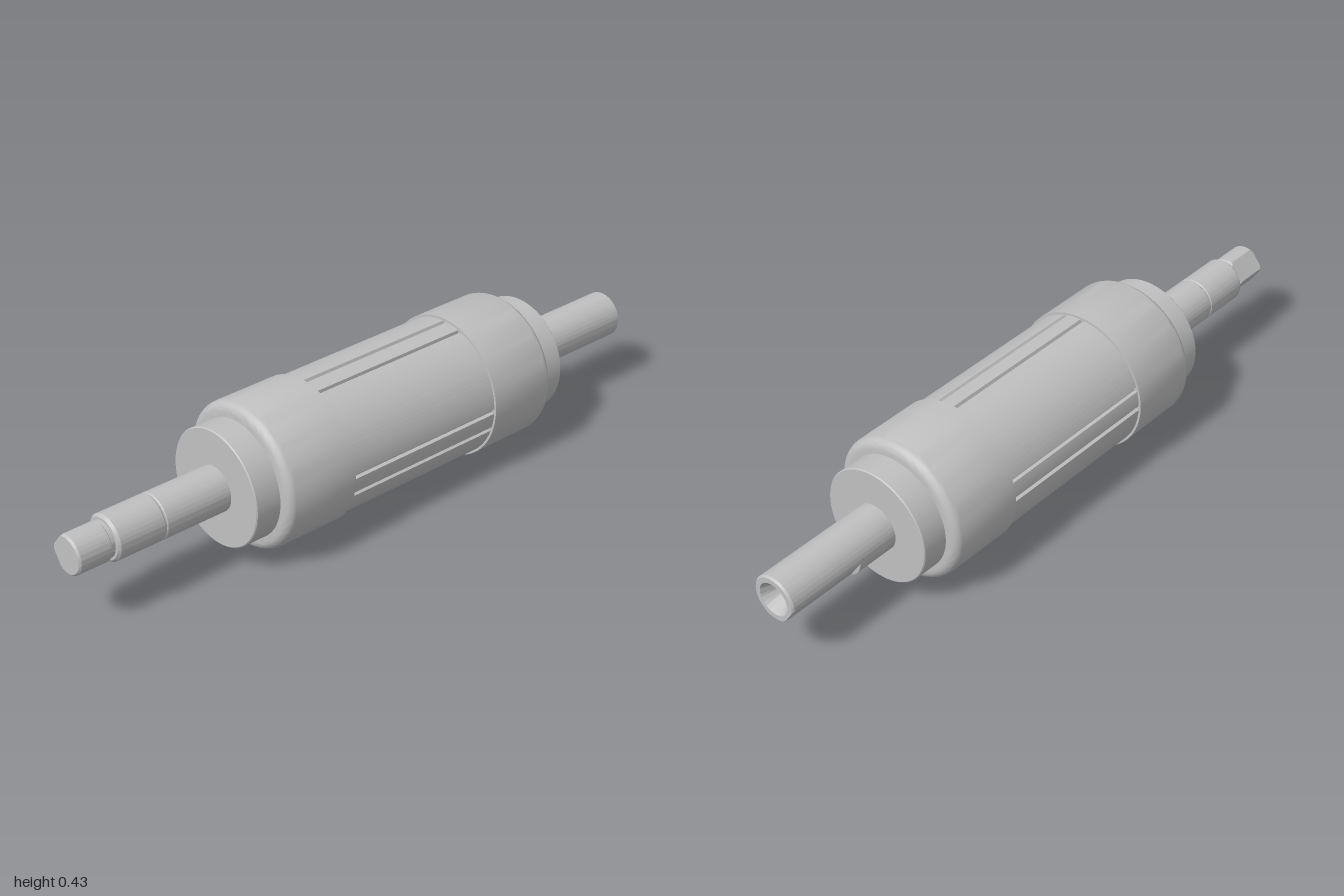
import * as THREE from 'three';
import { toCreasedNormals } from 'three/addons/utils/BufferGeometryUtils.js';

const steel = new THREE.MeshStandardMaterial({ color: 0xc0c0c0 });
steel.name = 'grey steel';

function part(name, geo, crease = 0.5) {
  const mesh = new THREE.Mesh(toCreasedNormals(geo, crease), steel);
  mesh.name = name;
  return mesh;
}

// Turned solid along x; profile is [x, radius] from -x to +x
function turned(profile) {
  const geo = new THREE.LatheGeometry(profile.map(([x, r]) => new THREE.Vector2(r, x)), 72);
  return geo.rotateZ(-Math.PI / 2);
}

// Mill a flat: push points beyond a plane (normal at angle in z/y, distance d) back onto it
function millFlat(geo, x0, x1, angle, d) {
  const p = geo.attributes.position, nz = Math.cos(angle), ny = Math.sin(angle);
  for (let i = 0; i < p.count; i++) {
    const x = p.getX(i);
    const over = p.getY(i) * ny + p.getZ(i) * nz - d;
    if (x < x0 || x > x1 || over <= 0) continue;
    p.setY(i, p.getY(i) - ny * over);
    p.setZ(i, p.getZ(i) - nz * over);
  }
  return geo;
}

// Middle drum with four pairs of lengthwise grooves
function drumGeometry(x0, x1) {
  const points = [];
  for (let deg = 0; deg < 360; deg++) {
    const q = deg % 90;
    const inGroove = q <= 1 || q === 89 || (q >= 72 && q <= 74);
    const r = inGroove ? 0.197 : 0.206, a = THREE.MathUtils.degToRad(deg);
    points.push(new THREE.Vector2(-r * Math.cos(a), r * Math.sin(a)));
  }
  const geo = new THREE.ExtrudeGeometry(new THREE.Shape(points), { depth: x1 - x0, bevelEnabled: false });
  return geo.rotateY(Math.PI / 2).translate(x0, 0, 0);
}

// End ring, rounded on its outer (+x) edge
function ringProfile(x0, x1) {
  const R = 0.213, f = 0.028, profile = [[x0, 0.16], [x0, R]];
  for (let i = 0; i <= 6; i++) {
    const a = (i / 6) * Math.PI / 2;
    profile.push([x1 - f + f * Math.sin(a), R - f + f * Math.cos(a)]);
  }
  profile.push([x1, 0.16]);
  return profile;
}
const mirrored = (profile) => profile.map(([x, r]) => [-x, r]).reverse();

export function createModel() {
  const group = new THREE.Group();
  group.name = 'roller';
  const roller = new THREE.Group();
  roller.name = 'rollerAssembly';
  group.add(roller);

  roller.add(part('groovedDrum', drumGeometry(-0.22, 0.33)));
  roller.add(part('leftRing', turned(ringProfile(0.32, 0.55))));
  roller.add(part('rightRing', turned(mirrored(ringProfile(0.21, 0.44)))));

  // Stepped flanges beside the rings
  const flange = [[0.5, 0], [0.5, 0.172], [0.627, 0.172], [0.63, 0.169], [0.63, 0]];
  roller.add(part('leftFlange', turned(flange)));
  roller.add(part('rightFlange', turned(mirrored(flange.map(([x, r]) => [x - 0.11, r])))));

  // Left shaft with centre-drilled end and a milled flat
  const leftShaft = turned([
    [0.6, 0], [0.6, 0.069], [0.76, 0.069], [0.761, 0.069], [0.994, 0.069], [1, 0.064],
    [1, 0.049], [0.955, 0.03], [0.94, 0],
  ]);
  const flatAngle = Math.atan2(-0.555, -0.83);
  roller.add(part('leftShaft', millFlat(leftShaft, 0.7605, 1.01, flatAngle, 0.0593), 0.35));

  // Right shaft with a fine step and a relief before the tip
  roller.add(part('rightShaft', turned([
    [-0.885, 0], [-0.885, 0.06], [-0.877, 0.067], [-0.737, 0.067], [-0.734, 0.0645],
    [-0.73, 0.0645], [-0.727, 0.067], [-0.5, 0.067], [-0.5, 0],
  ])));

  // Right tip with milled flats
  const tip = turned([
    [-1, 0], [-1, 0.053], [-0.994, 0.058], [-0.9, 0.058], [-0.896, 0.053], [-0.88, 0.053], [-0.88, 0],
  ]);
  for (const angle of [flatAngle, flatAngle - Math.PI / 2.5]) millFlat(tip, -1.01, -0.89, angle, 0.047);
  roller.add(part('rightTip', tip, 0.35));

  // The axis leans very slightly
  roller.quaternion.setFromUnitVectors(
    new THREE.Vector3(1, 0, 0), new THREE.Vector3(1, -0.008, 0.0115).normalize());
  roller.position.set(0, 0.2165, 0);
  return group;
}
